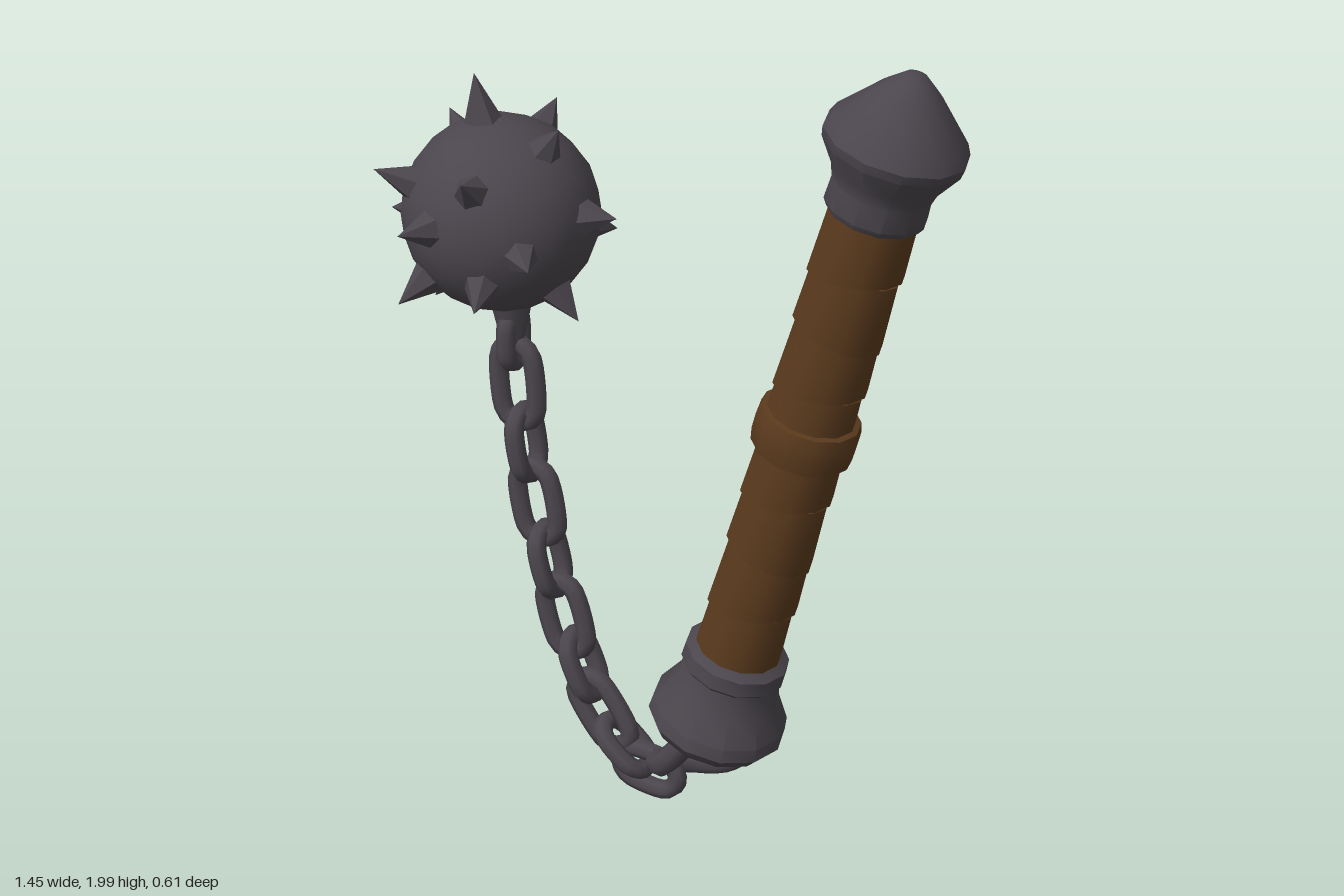
import * as THREE from 'three';
import { toCreasedNormals } from 'three/addons/utils/BufferGeometryUtils.js';

const metal = new THREE.MeshStandardMaterial({ color: 0x4b464d });
metal.name = 'dark iron';
const leather = new THREE.MeshStandardMaterial({ color: 0x5a3a1d });
leather.name = 'brown leather';

function mesh(name, geometry, material, parent) {
  const m = new THREE.Mesh(geometry, material);
  m.name = name;
  parent.add(m);
  return m;
}

// Turned part from [radius, height] pairs, listed bottom to top
function turned(profile, sides = 12, crease = 0.6) {
  const pts = profile.map(([r, y]) => new THREE.Vector2(r, y));
  return toCreasedNormals(new THREE.LatheGeometry(pts, sides), crease);
}

// Closed oval chain link, long axis along y, lying in the xy plane
function linkGeometry(halfLength, halfWidth, wire) {
  const l = halfLength - wire, w = halfWidth - wire, s = l - w;
  const pts = [];
  for (let i = 0; i < 12; i++) {
    const a = ((i + 0.5) / 12) * Math.PI * 2;
    pts.push(new THREE.Vector3(Math.cos(a) * w, Math.sin(a) * w + (i < 6 ? s : -s), 0));
  }
  const path = new THREE.CatmullRomCurve3(pts, true, 'centripetal');
  return new THREE.TubeGeometry(path, 24, wire, 7, true);
}

function buildHandle() {
  const handle = new THREE.Group();
  handle.name = 'handle';
  handle.position.set(0.165, 0.3, 0);
  handle.rotation.z = -0.256;

  mesh('gripCore', new THREE.CylinderGeometry(0.094, 0.094, 1.3, 12).translate(0, 0.82, 0), leather, handle);

  // Overlapping leather wraps, each with slanted rims
  const seams = [0.17, 0.36, 0.52, 0.68, 0.84, 0.98, 1.13, 1.28, 1.46];
  for (let i = 0; i < seams.length - 1; i++) {
    const h = seams[i + 1] - seams[i];
    const g = new THREE.CylinderGeometry(0.099, 0.107, h + 0.02, 12, 1);
    const p = g.attributes.position;
    const slant = i % 2 ? 0.2 : -0.12;
    for (let v = 0; v < p.count; v++) {
      p.setY(v, p.getY(v) + slant * p.getX(v) + 0.08 * p.getZ(v));
    }
    g.translate(0, (seams[i] + seams[i + 1]) / 2, 0);
    mesh('leatherWrap', toCreasedNormals(g, 0.7), leather, handle);
  }

  // Raised band at mid grip
  mesh('gripBand', turned([[0.095, 0.79], [0.118, 0.8], [0.123, 0.83], [0.123, 0.87],
    [0.116, 0.895], [0.095, 0.9]]), leather, handle);

  // Pointed pommel
  mesh('pommel', turned([[0, 1.42], [0.107, 1.42], [0.116, 1.435], [0.113, 1.49], [0.122, 1.52],
    [0.158, 1.578], [0.162, 1.6], [0.15, 1.625], [0.065, 1.72], [0.025, 1.755], [0, 1.762]]), metal, handle);

  // Flared socket on the chain end
  mesh('socket', turned([[0, -0.065], [0.1, -0.062], [0.15, -0.04], [0.17, -0.01], [0.166, 0.025],
    [0.128, 0.095], [0.118, 0.15], [0.129, 0.162], [0.127, 0.2], [0.105, 0.215], [0, 0.215]]), metal, handle);
  return handle;
}

function buildChain() {
  const chain = new THREE.Group();
  chain.name = 'chain';

  // Staple under the socket
  const staple = new THREE.CatmullRomCurve3([
    [0.14, 0.3, 0.07], [0.09, 0.21, 0.075], [0.04, 0.15, 0.055], [0.01, 0.125, 0.01],
    [0.06, 0.11, -0.045], [0.14, 0.115, -0.075], [0.2, 0.17, -0.07], [0.21, 0.26, -0.05],
  ].map((p) => new THREE.Vector3(...p)));
  mesh('staple', new THREE.TubeGeometry(staple, 24, 0.032, 7), metal, chain);

  // Links, from the staple up to the ball: x, y, lean, half length
  const links = [
    [-0.025, 0.085, 1.45, 0.105],
    [-0.09, 0.135, 0.85, 0.1],
    [-0.155, 0.215, 0.6, 0.125],
    [-0.208, 0.335, 0.4, 0.105],
    [-0.257, 0.46, 0.25, 0.122],
    [-0.298, 0.61, 0.24, 0.105],
    [-0.33, 0.76, 0.16, 0.122],
    [-0.357, 0.915, 0.15, 0.105],
    [-0.377, 1.07, 0.06, 0.128],
  ];
  links.forEach(([x, y, lean, half], i) => {
    const link = mesh('chainLink', linkGeometry(half, 0.071, 0.0245), metal, chain);
    link.position.set(x, y, 0);
    link.rotation.order = 'ZYX';
    link.rotation.set(0, i % 2 ? Math.PI / 2 : 0, lean);
  });
  return chain;
}

function buildBall() {
  const ball = new THREE.Group();
  ball.name = 'spikedBall';
  ball.position.set(-0.41, 1.5, 0);
  mesh('ballCore', new THREE.IcosahedronGeometry(0.232, 3), metal, ball);
  ball.children[0].geometry = toCreasedNormals(ball.children[0].geometry, 0.9);

  // Spike tips relative to the ball centre
  const tips = [
    [-0.05, 0.335, 0.02], [-0.31, -0.05, -0.01], [0.305, 0.04, 0],
    [-0.09, 0.03, 0.3], [-0.08, 0.04, -0.305],
    [0.05, 0.16, 0.25], [0.08, -0.14, 0.26], [-0.15, -0.18, 0.22],
    [-0.24, 0.16, -0.17], [-0.22, 0.13, 0.19], [0.175, 0.24, 0.03],
    [0.02, 0.21, -0.23], [0.18, -0.09, -0.23], [0.2, -0.03, 0.22],
    [0.225, -0.215, 0.04], [-0.19, -0.25, 0], [-0.1, -0.16, -0.25],
    [0.06, -0.22, -0.2],
  ];
  const up = new THREE.Vector3(0, 1, 0);
  for (const t of tips) {
    const tip = new THREE.Vector3(...t);
    const height = tip.length() - 0.205;
    const g = new THREE.ConeGeometry(0.052, height, 6).translate(0, 0.205 + height / 2, 0);
    const spike = mesh('spike', toCreasedNormals(g, 0.4), metal, ball);
    spike.quaternion.setFromUnitVectors(up, tip.normalize());
  }

  // Tapered neck and eye that hold the chain
  const neck = new THREE.CylinderGeometry(0.055, 0.027, 0.13, 8).translate(0.022, -0.265, 0);
  mesh('neck', neck, metal, ball);
  const eye = mesh('eye', linkGeometry(0.085, 0.058, 0.024), metal, ball);
  eye.position.set(0.025, -0.315, 0);
  eye.rotation.y = Math.PI / 2;
  return ball;
}

export function createModel() {
  const flail = new THREE.Group();
  flail.name = 'flail';
  flail.add(buildHandle(), buildChain(), buildBall());
  return flail;
}
